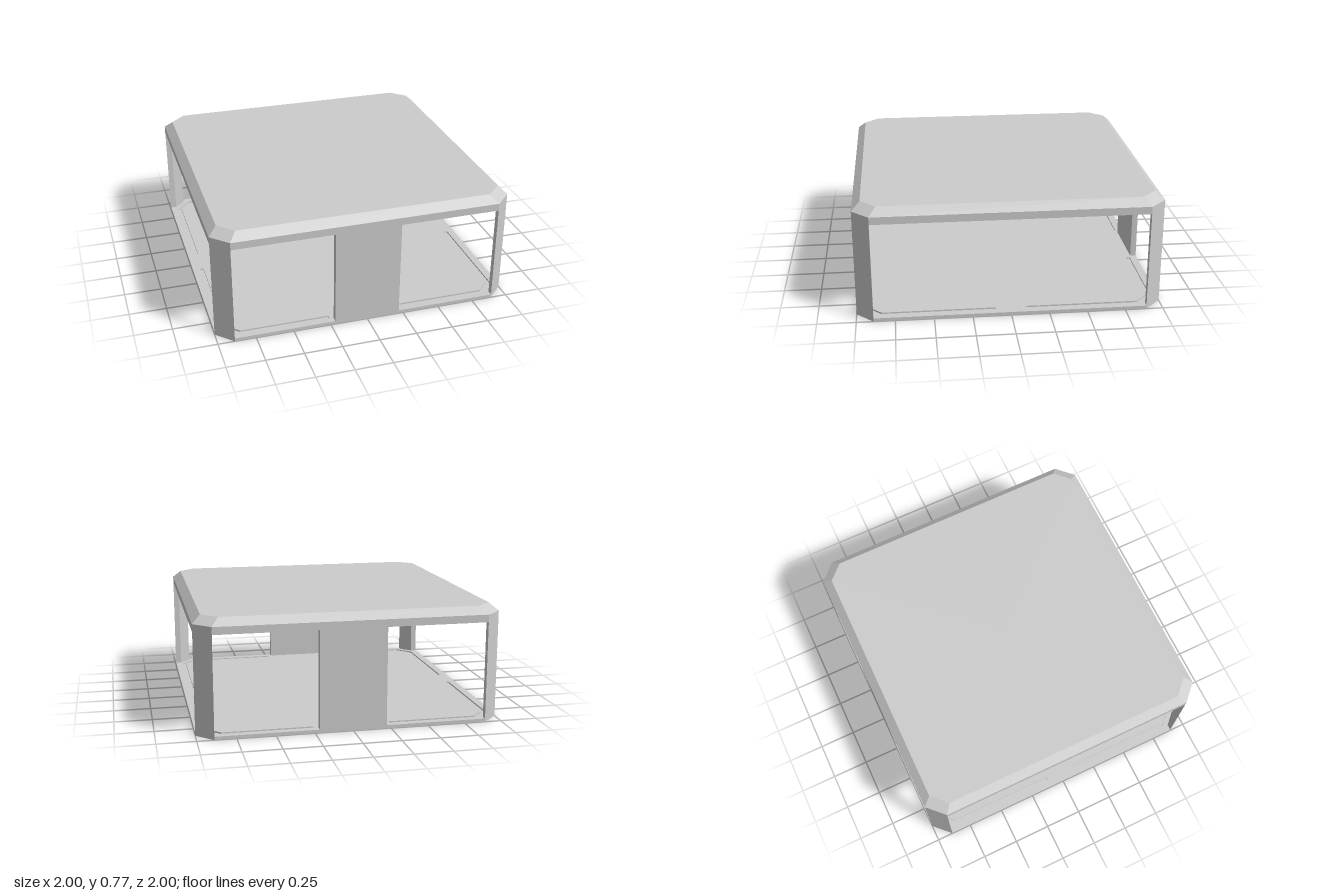
import * as THREE from 'three';

const mat = new THREE.MeshStandardMaterial({ color: 0xcccccc, flatShading: true });

// Square of half-width h with its corners cut by c, as [x, z] points
function octagon(h, c) {
  const k = h - c;
  return [[h, k], [k, h], [-k, h], [-h, k], [-h, -k], [-k, -h], [k, -h], [h, -k]];
}

// Closed solid through rings given as [y, halfWidth, cornerCut]
function loft(rings) {
  const pos = [];
  const loops = rings.map(([y, h, c]) => octagon(h, c).map(([x, z]) => [x, y, z]));
  const first = loops[0], last = loops[loops.length - 1];
  for (let i = 0; i < 8; i++) {
    const j = (i + 1) % 8;
    for (let r = 0; r + 1 < loops.length; r++) {
      const a = loops[r], b = loops[r + 1];
      pos.push(...a[j], ...a[i], ...b[i], ...a[j], ...b[i], ...b[j]);
    }
    pos.push(0, first[0][1], 0, ...first[i], ...first[j]);
    pos.push(0, last[0][1], 0, ...last[j], ...last[i]);
  }
  const g = new THREE.BufferGeometry();
  g.setAttribute('position', new THREE.Float32BufferAttribute(pos, 3));
  g.computeVertexNormals();
  return g;
}

const toPath = (pts, Type) => new Type(pts.map(([x, z]) => new THREE.Vector2(x, z)));

// Flat outline pulled up from y0 to y1
function slab(shape, y0, y1) {
  const g = new THREE.ExtrudeGeometry(shape, { depth: y1 - y0, bevelEnabled: false });
  return g.rotateX(-Math.PI / 2).translate(0, y0, 0);
}

export function createModel() {
  const model = new THREE.Group();
  const add = (name, geometry, parent = model) => {
    const mesh = new THREE.Mesh(geometry, mat);
    mesh.name = name;
    parent.add(mesh);
    return mesh;
  };
  const box = (name, w, h, d, x, y, z, parent) => {
    const mesh = add(name, new THREE.BoxGeometry(w, h, d), parent);
    mesh.position.set(x, y, z);
    return mesh;
  };
  const quadrants = [[1, 1], [-1, 1], [-1, -1], [1, -1]];

  // Floor: solid plate under a plate cut by four shallow corner tracks
  add('floorBase', slab(toPath(octagon(1, 0.11), THREE.Shape), 0, 0.012));
  const floorShape = toPath(octagon(1, 0.11), THREE.Shape);
  const track = [[0.25, 0.95], [0.85, 0.95], [0.95, 0.85], [0.95, 0.1],
    [0.925, 0.1], [0.925, 0.84], [0.84, 0.925], [0.25, 0.925]];
  for (const [sx, sz] of quadrants) {
    floorShape.holes.push(toPath(track.map(([x, z]) => [x * sx, z * sz]), THREE.Path));
  }
  add('floorTop', slab(floorShape, 0.012, 0.022));

  // Roof: hollow rim below, bevelled edge above
  add('roof', loft([
    [0.74, 0.92, 0.063], [0.67, 0.92, 0.063], [0.67, 1, 0.11],
    [0.72, 1, 0.11], [0.77, 0.945, 0.1],
  ]));

  // Corner posts
  const post = [[1, 0.89], [0.89, 1], [0.89, 0.96], [0.96, 0.89]];
  for (const [sx, sz] of quadrants) {
    const shape = toPath(post.map(([x, z]) => [x * sx, z * sz]), THREE.Shape);
    add('cornerPost', slab(shape, 0.022, 0.67));
  }

  // Wall panels in the middle of the front and back
  for (const [name, s] of [['frontPanel', 1], ['backPanel', -1]]) {
    box(name, 0.44, 0.648, 0.04, 0, 0.346, 0.98 * s);
  }

  // Ceiling: crossing beams and diagonal slats in each quarter
  const ceiling = new THREE.Group();
  ceiling.name = 'ceiling';
  model.add(ceiling);
  box('crossBeam', 1.86, 0.07, 0.06, 0, 0.706, 0, ceiling);
  box('lengthBeam', 0.06, 0.07, 1.86, 0, 0.706, 0, ceiling);
  for (const [sx, sz] of quadrants) {
    for (let i = 0; i < 11; i++) {
      const sum = 0.15 + i * 0.154;
      const from = Math.max(0.02, sum - 0.92);
      const length = (sum - 2 * from) * Math.SQRT2;
      const slat = box('ceilingSlat', length, 0.055, 0.05, sx * sum / 2, 0.713, sz * sum / 2, ceiling);
      slat.rotation.y = sx * sz * Math.PI / 4;
    }
  }
  return model;
}
